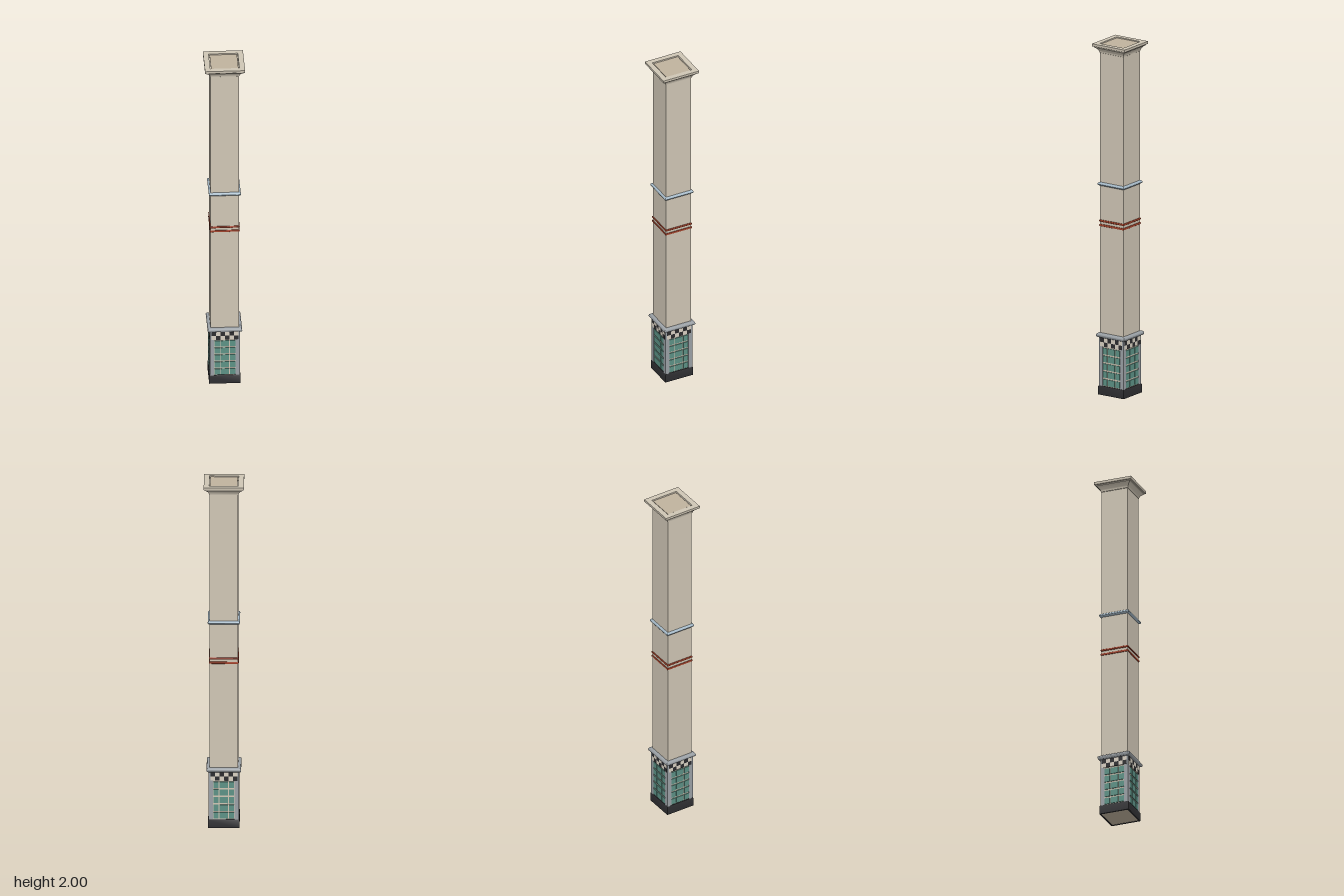
import * as THREE from 'three';
import { toCreasedNormals } from 'three/addons/utils/BufferGeometryUtils.js';

const mat = (color) => new THREE.MeshStandardMaterial({ color });
const plaster = mat(0xcfc6b5), stone = mat(0xc0b39e), grey = mat(0x9ba1a6), paleBlue = mat(0xa6bac8),
  red = mat(0xa5432b), black = mat(0x2c2c2f), cream = mat(0xd8d0c2), green = mat(0x5c9185);

// Square moulding: sweeps a [half width, height] profile round four mitred sides
function moulding(name, profile, material) {
  const pts = profile.map(([w, y]) => new THREE.Vector2(w * Math.SQRT2, y));
  const geo = toCreasedNormals(new THREE.LatheGeometry(pts, 4, Math.PI / 4), 0.7);
  const mesh = new THREE.Mesh(geo, material);
  mesh.name = name;
  return mesh;
}

// Half-round collar profile
function roundCollar(name, y, inner, bulge, half, material) {
  const profile = [];
  for (let i = 0; i <= 10; i++) {
    const a = -Math.PI / 2 + (Math.PI * i) / 10;
    profile.push([inner + bulge * Math.cos(a), y + half * Math.sin(a)]);
  }
  return moulding(name, [[0.076, y - half], ...profile, [0.076, y + half]], material);
}

function box(name, w, h, d, x, y, z, material) {
  const mesh = new THREE.Mesh(new THREE.BoxGeometry(w, h, d), material);
  mesh.position.set(x, y, z);
  mesh.name = name;
  return mesh;
}

// Tiled face of the pedestal, built facing +z
function tiledFace() {
  const face = new THREE.Group();
  face.name = 'tiledFace';
  // Two rows of chequered tiles
  const s = 0.148 / 6;
  for (let r = 0; r < 2; r++) {
    for (let c = 0; c < 6; c++) {
      face.add(box('checkTile', s, s, 0.006, (c - 2.5) * s, 0.326 - (r + 0.5) * s, 0.081,
        (r + c) % 2 ? cream : black));
    }
  }
  // Green tiles with open joints, wider in the middle column
  const columns = [[-0.0425, 0.029], [0, 0.046], [0.0425, 0.029]];
  const rowPitch = 0.0445;
  for (let r = 0; r < 5; r++) {
    for (const [x, w] of columns) {
      face.add(box('greenTile', w, rowPitch - 0.009, 0.005, x, 0.051 + (r + 0.5) * rowPitch, 0.08, green));
    }
  }
  return face;
}

export function createModel() {
  const model = new THREE.Group();
  model.name = 'column';

  // Shaft
  model.add(box('shaft', 0.156, 1.987, 0.156, 0, 0.9965, 0, plaster));
  model.add(box('topPanel', 0.15, 0.008, 0.15, 0, 1.992, 0, stone));
  model.add(box('bottomPanel', 0.158, 0.01, 0.158, 0, 0.007, 0, stone));

  // Plinth, open underneath round the bottom panel
  model.add(moulding('plinth', [[0.078, 0.004], [0.078, 0], [0.086, 0], [0.086, 0.046], [0.083, 0.051], [0.077, 0.051]], black));

  // Pedestal corner posts
  for (const x of [-1, 1]) {
    for (const z of [-1, 1]) {
      model.add(box('cornerPost', 0.024, 0.285, 0.024, x * 0.0705, 0.1905, z * 0.0705, grey));
    }
  }
  for (let i = 0; i < 4; i++) {
    const face = tiledFace();
    face.rotation.y = (i * Math.PI) / 2;
    model.add(face);
  }

  // Collars and bands
  model.add(roundCollar('pedestalCollar', 0.339, 0.082, 0.013, 0.013, grey));
  model.add(roundCollar('shaftCollar', 1.2, 0.078, 0.01, 0.01, paleBlue));
  for (const y of [0.965, 0.99]) {
    model.add(roundCollar('redBand', y, 0.078, 0.004, 0.006, red));
  }

  // Capital: cove, fillet and top slab with a shallow recess
  model.add(moulding('capital', [
    [0.077, 1.946], [0.08, 1.948], [0.081, 1.954], [0.084, 1.961], [0.089, 1.968], [0.096, 1.975],
    [0.102, 1.979], [0.102, 1.984], [0.109, 1.985], [0.11, 1.988], [0.11, 2], [0.08, 2], [0.079, 1.99], [0.07, 1.99],
  ], plaster));

  return model;
}
